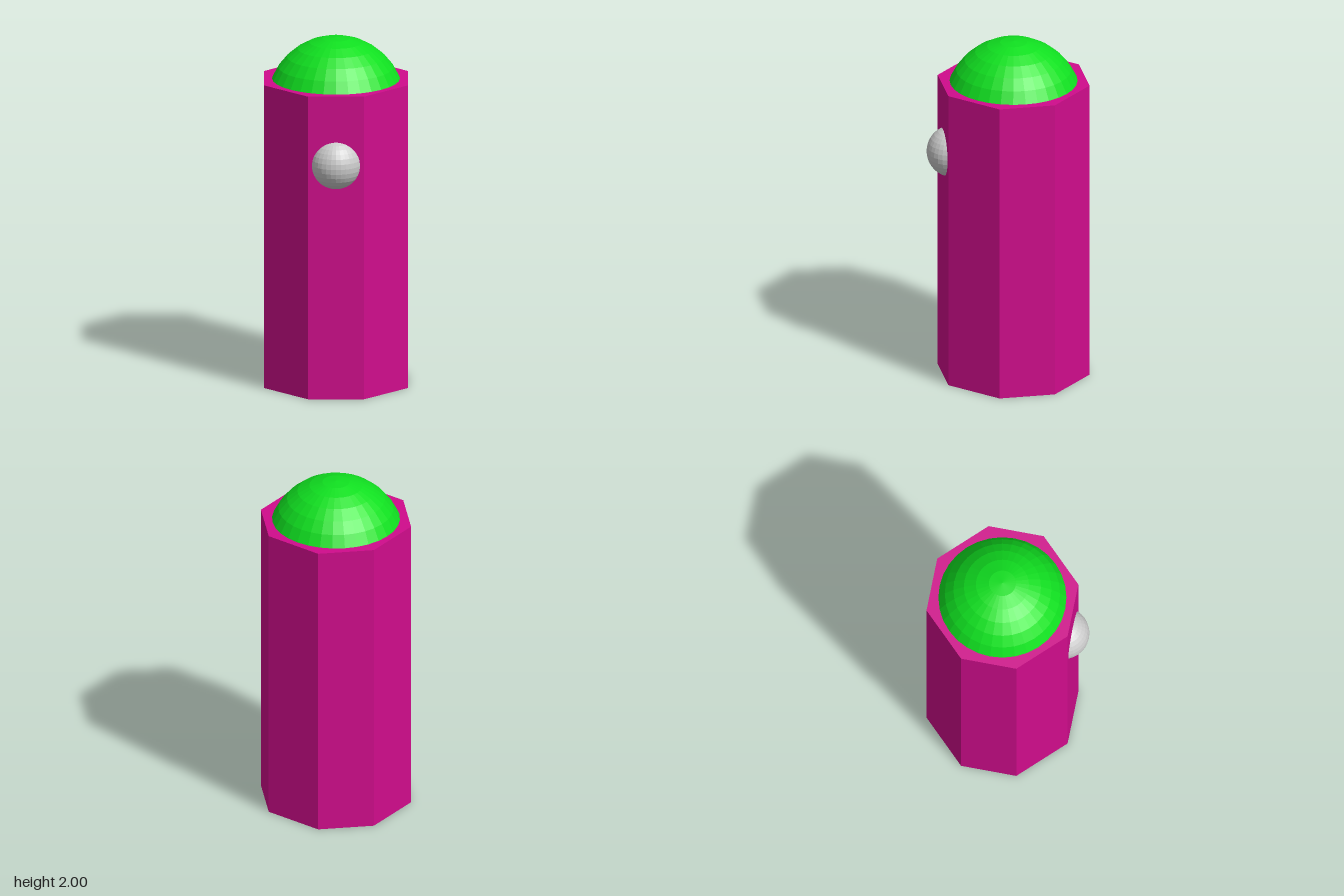
import * as THREE from 'three';

const BODY_HEIGHT = 1.76;
const CENTRE_Z = -0.046;

function addPart(group, name, geometry, color, x, y, z) {
  const material = new THREE.MeshStandardMaterial({ color, flatShading: true });
  const mesh = new THREE.Mesh(geometry, material);
  mesh.name = name;
  mesh.position.set(x, y, z);
  group.add(mesh);
}

export function createModel() {
  const group = new THREE.Group();
  group.name = 'domedPost';

  // Eight-sided column, its flat sides facing the axes
  const a = 0.404; // centre to flat side
  const h = 0.158; // half width of a flat side
  const outline = new THREE.Shape(
    [[a, -h], [a, h], [h, a], [-h, a], [-a, h], [-a, -h], [-h, -a], [h, -a]]
      .map(([x, y]) => new THREE.Vector2(x, y))
  );
  const column = new THREE.ExtrudeGeometry(outline, { depth: BODY_HEIGHT, bevelEnabled: false });
  column.rotateX(-Math.PI / 2);
  addPart(group, 'column', column, 0xd00c8c, 0, 0, CENTRE_Z);

  // Ball sunk into the top, showing as a dome
  addPart(group, 'dome', new THREE.SphereGeometry(0.39, 32, 16), 0x10e020, 0, 1.61, CENTRE_Z);

  // Small ball sunk into the front face
  addPart(group, 'frontKnob', new THREE.SphereGeometry(0.146, 32, 16), 0xcccccc, 0, 1.357, 0.304);

  return group;
}
